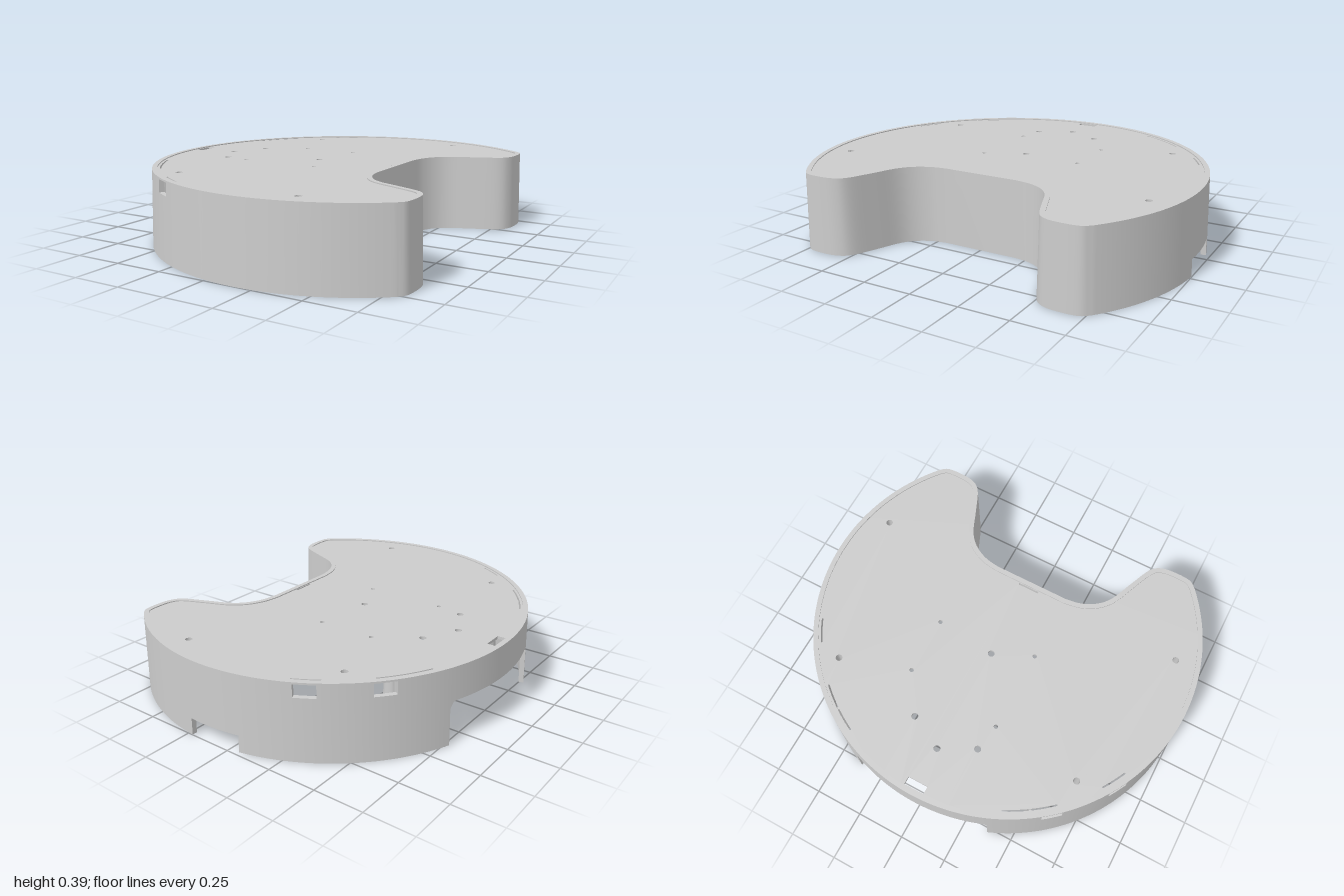
import * as THREE from 'three';
import { toCreasedNormals } from 'three/addons/utils/BufferGeometryUtils.js';

const H = 0.386, CX = 0.155, R = 0.99, WALL = 0.025, DRAFT = 0.01;
const PLATE_TOP = 0.381, PLATE_BOTTOM = 0.367;
const rad = THREE.MathUtils.degToRad;
const onArc = (deg, r) => new THREE.Vector2(CX + r * Math.cos(rad(deg)), r * Math.sin(rad(deg)));

// Crescent plan (x, z) at the top: one point per degree on the arc, then horns and hollow
function crescent() {
  const pts = [];
  for (let d = 50; d <= 310; d++) pts.push(onArc(d, R));
  const horn = new THREE.SplineCurve([
    [0.791, 0.758], [0.819, 0.72], [0.825, 0.64], [0.815, 0.565], [0.775, 0.512], [0.66, 0.46],
    [0.54, 0.41], [0.475, 0.355], [0.435, 0.28], [0.42, 0.2],
  ].map(([x, z]) => new THREE.Vector2(x, z))).getPoints(45);
  for (const p of horn.slice(1)) pts.push(new THREE.Vector2(p.x, -p.y));
  for (const p of horn.slice(1).reverse()) pts.push(p.clone());
  return pts;
}
const plan = crescent();
const n = plan.length;
const normals = plan.map((p, i) => {
  const t = plan[(i + 1) % n].clone().sub(plan[(i + n - 1) % n]).normalize();
  return new THREE.Vector2(t.y, -t.x);
});
const offset = (i, d) => plan[i % n].clone().addScaledVector(normals[i % n], d);

// One stretch of drafted wall between plan points a and b, from low(i) up to high
function wallPiece(a, b, low, high) {
  const pos = [], idx = [];
  for (let i = a; i <= b; i++) {
    const lo = low(i);
    for (const [y, inset] of [[lo, 0], [high, 0], [high, WALL], [lo, WALL]]) {
      const p = offset(i, DRAFT * (1 - y / H) - inset);
      pos.push(p.x, y, p.y);
    }
  }
  for (let i = 0; i < b - a; i++) {
    for (let k = 0; k < 4; k++) {
      const p = i * 4 + k, q = i * 4 + (k + 1) % 4;
      idx.push(p, q, q + 4, p, q + 4, p + 4);
    }
  }
  const e = (b - a) * 4;
  idx.push(e, e + 1, e + 2, e, e + 2, e + 3, 0, 2, 1, 0, 3, 2);
  const g = new THREE.BufferGeometry();
  g.setAttribute('position', new THREE.Float32BufferAttribute(pos, 3));
  g.setIndex(idx);
  return toCreasedNormals(g, rad(30));
}

export function createModel() {
  const model = new THREE.Group();
  const mat = new THREE.MeshStandardMaterial({ color: 0xcccccc, side: THREE.DoubleSide });
  const add = (name, geo, parent = model) => {
    const m = new THREE.Mesh(geo, mat);
    m.name = name;
    parent.add(m);
    return m;
  };

  // Outer wall: solid stretches, windows, rear notch and the wide side opening
  const wall = new THREE.Group();
  wall.name = 'wall';
  model.add(wall);
  const at = (deg) => deg - 50;
  const full = () => 0;
  const solids = [[123, 137], [143, 158], [202, 217], [223, 237], [243, 258]];
  for (const [a, b] of solids) add('wallPanel', wallPiece(at(a), at(b), full, H), wall);
  add('crescentWall', wallPiece(at(274), n + at(117), full, H), wall);
  for (const a of [117, 137, 217, 237]) {
    add('windowSill', wallPiece(at(a), at(a + 6), full, 0.314), wall);
    add('windowHeader', wallPiece(at(a), at(a + 6), () => 0.377, H), wall);
  }
  add('notchPanel', wallPiece(at(258), at(274), () => 0.085, H), wall);
  const fillet = 0.035;
  add('openingPanel', wallPiece(at(158), at(202), (i) => {
    const d = rad(Math.min(i - at(158), at(202) - i));
    return d >= fillet ? 0.22 : 0.22 - fillet + Math.sqrt(fillet ** 2 - (fillet - d) ** 2);
  }, H), wall);

  // Top plate with screw holes, slots and slits beside the windows
  const shape = new THREE.Shape(plan.map((p, i) => offset(i, -WALL + 0.003)));
  const hole = (x, z, r) => shape.holes.push(new THREE.Path().absarc(x, z, r, 0, Math.PI * 2, true));
  const slot = (x0, x1, h) => shape.holes.push(new THREE.Path([[x0, -h], [x0, h], [x1, h], [x1, -h]]
    .map(([x, z]) => new THREE.Vector2(x, z))));
  const screwHoles = [[0.38, 0.835], [0.38, -0.835], [-0.405, 0.665], [-0.405, -0.665]];
  for (const [x, z] of screwHoles) hole(x, z, 0.017);
  for (const [x, z] of [[-0.49, 0.175], [-0.49, -0.175], [-0.58, 0], [-0.025, 0]]) hole(x, z, 0.017);
  for (const [x, z] of [[-0.29, -0.31], [0.005, -0.31], [-0.35, 0.2], [0.065, 0.2]]) hole(x, z, 0.011);
  slot(-0.803, -0.763, 0.052);
  slot(0.382, 0.391, 0.055);
  for (const [a, b] of [[116, 124], [138, 154], [206, 222], [236, 244]]) {
    const slit = [];
    for (let d = a; d <= b; d++) slit.push(onArc(d, 0.953));
    for (let d = b; d >= a; d--) slit.push(onArc(d, 0.945));
    shape.holes.push(new THREE.Path(slit));
  }
  const plate = new THREE.ExtrudeGeometry(shape, {
    depth: PLATE_TOP - PLATE_BOTTOM, bevelEnabled: false, curveSegments: 10,
  });
  plate.rotateX(Math.PI / 2).translate(0, PLATE_TOP, 0);
  add('topPlate', plate);

  // Hollow posts under the plate, widening downward
  const post = (name, x, z, profile) => {
    const g = new THREE.LatheGeometry(profile.map(([r, y]) => new THREE.Vector2(r, y)), 20);
    add(name, toCreasedNormals(g, rad(35))).position.set(x, 0, z);
  };
  const rib = (x, z, angle, length) => {
    const m = add('rib', new THREE.BoxGeometry(length, 0.345, 0.012));
    m.position.set(x + Math.cos(angle) * length / 2, 0.1975, z + Math.sin(angle) * length / 2);
    m.rotation.y = -angle;
  };
  // open at the top for screws entering through the plate
  const sleeve = [[0, 0.02], [0.04, 0.02], [0.03, 0.37], [0.017, 0.37], [0.017, 0.06], [0, 0.06]];
  // blind pilot hole at the lower end
  const boss = [[0, 0.12], [0.014, 0.12], [0.014, 0.02], [0.05, 0.02], [0.036, 0.37]];
  const radialRib = (x, z) => rib(x, z, Math.atan2(z, x - CX), 0.975 - Math.hypot(x - CX, z));
  for (const [x, z] of screwHoles) {
    post('screwSleeve', x, z, sleeve);
    const a = Math.atan2(z, x - CX);
    rib(x + 0.032 * Math.cos(a), z + 0.032 * Math.sin(a), a, 0.943 - Math.hypot(x - CX, z));
  }
  for (const side of [1, -1]) {
    for (const [x, z] of [[0.7, 0.68], [-0.08, 0.79], [-0.51, 0.45], [0.22, 0.28]]) {
      post('mountingBoss', x, z * side, boss);
      if (x === 0.22) rib(x + 0.02, z * side, 0, 0.185);
      else {
        const a = Math.atan2(z * side, x - CX);
        radialRib(x + 0.02 * Math.cos(a), z * side + 0.02 * Math.sin(a));
      }
    }
  }
  return model;
}
